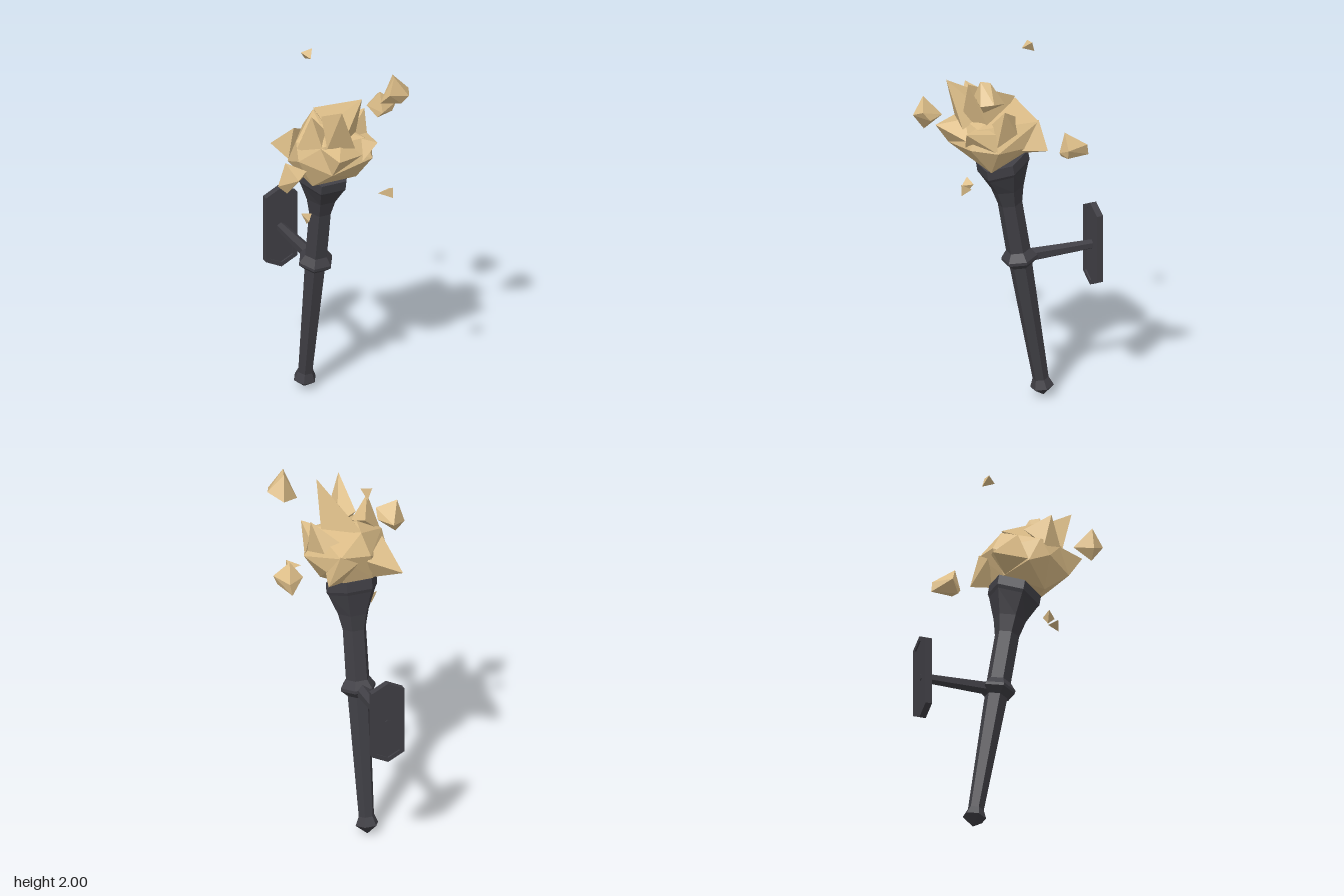
import * as THREE from 'three';
import { ConvexGeometry } from 'three/addons/geometries/ConvexGeometry.js';

const CX = -0.047; // torch centre line in x

function material(name, color) {
  const m = new THREE.MeshStandardMaterial({ color });
  m.name = name;
  return m;
}

// Faceted mesh: one normal per face
function facet(name, geometry, mat) {
  const g = geometry.index ? geometry.toNonIndexed() : geometry;
  g.computeVertexNormals();
  const mesh = new THREE.Mesh(g, mat);
  mesh.name = name;
  return mesh;
}

// Angular crystal-like solid around a few points
function hull(name, points, mat) {
  return facet(name, new ConvexGeometry(points.map((p) => new THREE.Vector3(...p))), mat);
}

// Pointed hexagonal outline of the wall plate
function plateOutline(Type, s) {
  const w = 0.09 * s, h = 0.23 - 0.09 * (1 - s), c = h - 0.045 * s;
  return new Type([[0, h], [-w, c], [-w, -c], [0, -h], [w, -c], [w, c]]
    .map(([x, y]) => new THREE.Vector2(x, y)));
}

function plateLayer(name, s, hole, depth, z, mat) {
  const shape = plateOutline(THREE.Shape, s);
  if (hole) shape.holes.push(plateOutline(THREE.Path, hole));
  const mesh = facet(name, new THREE.ExtrudeGeometry(shape, { depth, bevelEnabled: false }), mat);
  mesh.position.set(CX, 0.807, z);
  return mesh;
}

export function createModel() {
  const torch = new THREE.Group();
  torch.name = 'wallTorch';
  const iron = material('dark iron', 0x403f45);
  const flame = material('pale flame', 0xdcbd88);

  // Six-sided handle, collar and cup, leaning forward
  const profile = [
    [0, 0.005], [0.062, 0.057], [0.042, 0.105], [0.06, 0.77], [0.095, 0.802], [0.095, 0.818],
    [0.064, 0.86], [0.064, 1.135], [0.085, 1.225], [0.13, 1.335], [0.14, 1.352], [0.14, 1.405],
    [0.11, 1.405], [0.09, 1.36], [0, 1.36],
  ].map(([r, y]) => new THREE.Vector2(r, y));
  const shaft = new THREE.LatheGeometry(profile, 6, Math.PI / 2);
  const pos = shaft.attributes.position;
  for (let i = 0; i < pos.count; i++) {
    // tilt the rim further forward
    if (pos.getY(i) > 1.3) pos.setY(i, pos.getY(i) - 0.18 * pos.getZ(i));
  }
  const handle = facet('handle', shaft, iron);
  handle.rotation.x = 0.168;
  handle.position.set(CX, 0, -0.15);
  torch.add(handle);

  // Arm to the wall
  const arm = facet('bracketArm', new THREE.CylinderGeometry(0.038, 0.026, 0.39, 6), iron);
  arm.rotation.x = Math.PI / 2;
  arm.position.set(CX, 0.804, -0.225);
  torch.add(arm);

  // Wall plate with a sunken back and a small bolt
  torch.add(plateLayer('plateRim', 1, 0.72, 0.035, -0.445, iron));
  torch.add(plateLayer('platePanel', 0.72, 0, 0.019, -0.437, iron));
  const bolt = facet('plateBolt', new THREE.CylinderGeometry(0.018, 0.018, 0.006, 6), iron);
  bolt.rotation.x = Math.PI / 2;
  bolt.position.set(CX, 0.804, -0.439);
  torch.add(bolt);

  // Main fire: a faceted core with overlapping tongues
  const fire = new THREE.Group();
  fire.name = 'fire';
  const tongues = {
    core: [
      [-0.17, 1.36, 0.2], [0.08, 1.36, 0.2], [-0.13, 1.42, -0.01], [0.03, 1.42, -0.01],
      [-0.255, 1.47, 0.08], [-0.25, 1.52, 0.2], [0.17, 1.5, 0.2], [0.11, 1.48, 0.03],
      [0.11, 1.52, 0.33], [-0.13, 1.48, 0.35], [-0.1, 1.58, -0.06], [0.07, 1.6, -0.07],
      [-0.24, 1.61, 0.15], [-0.15, 1.63, 0.3], [0.09, 1.62, 0.28], [-0.07, 1.69, 0],
      [-0.1, 1.68, 0.14],
    ],
    rightBackTongue: [
      [-0.255, 1.48, -0.12], [-0.25, 1.48, 0.08], [-0.13, 1.42, 0], [-0.08, 1.55, -0.06],
      [-0.2, 1.63, 0.04],
    ],
    leftBackTongue: [
      [0.145, 1.46, -0.09], [0.03, 1.42, 0], [0.11, 1.47, 0.04], [0.07, 1.61, -0.07],
      [-0.03, 1.55, -0.06],
    ],
    frontTongue: [
      [-0.125, 1.59, 0.425], [-0.13, 1.48, 0.35], [-0.17, 1.62, 0.27], [0.05, 1.55, 0.33],
      [-0.03, 1.64, 0.25],
    ],
    leftFrontTongue: [
      [0.125, 1.62, 0.36], [0.165, 1.5, 0.2], [0.04, 1.5, 0.33], [0.04, 1.62, 0.24],
      [0.14, 1.6, 0.2],
    ],
    tallTongue: [
      [0.055, 1.87, 0.32], [-0.07, 1.7, 0], [0.07, 1.58, 0.2], [-0.06, 1.6, 0.31],
      [-0.08, 1.68, 0.17],
    ],
    middleTongue: [
      [-0.09, 1.85, 0.38], [-0.14, 1.62, 0.31], [0.01, 1.6, 0.33], [-0.1, 1.73, 0.16],
      [-0.01, 1.66, 0.19],
    ],
    rightTongue: [
      [-0.19, 1.78, 0.23], [-0.245, 1.58, 0.17], [-0.15, 1.57, 0.31], [-0.09, 1.66, 0.2],
      [-0.13, 1.7, 0.1],
    ],
    leftTongue: [
      [0.15, 1.72, 0.155], [0.15, 1.52, 0.2], [0.04, 1.6, 0.2], [0.03, 1.63, 0.04],
      [0.1, 1.54, 0.05],
    ],
  };
  for (const [name, points] of Object.entries(tongues)) fire.add(hull(name, points, flame));
  torch.add(fire);

  // Loose embers around the fire
  const embers = new THREE.Group();
  embers.name = 'embers';
  [
    [[0.235, 1.96, 0.33], [0.335, 1.86, 0.295], [0.275, 1.83, 0.21], [0.175, 1.8, 0.285],
      [0.275, 1.8, 0.33], [0.305, 1.85, 0.36], [0.2, 1.87, 0.35], [0.25, 1.95, 0.28]],
    [[0.36, 1.65, -0.09], [0.445, 1.58, -0.075], [0.4, 1.58, -0.2], [0.39, 1.52, -0.21],
      [0.3, 1.57, -0.125], [0.34, 1.51, -0.08], [0.36, 1.54, -0.06], [0.425, 1.53, -0.08]],
    [[-0.41, 1.63, 0.37], [-0.31, 1.58, 0.415], [-0.305, 1.53, 0.375], [-0.4, 1.45, 0.37],
      [-0.45, 1.5, 0.365], [-0.36, 1.53, 0.285], [-0.37, 1.55, 0.445]],
    [[-0.1, 1.99, -0.08], [-0.035, 2, -0.08], [-0.065, 1.965, -0.035], [-0.065, 1.937, -0.105]],
    [[0.115, 1.34, 0.385], [0.185, 1.37, 0.415], [0.185, 1.31, 0.415], [0.19, 1.34, 0.358]],
    [[-0.235, 1.215, 0.2], [-0.17, 1.195, 0.19], [-0.205, 1.15, 0.205], [-0.21, 1.18, 0.24]],
  ].forEach((points, i) => embers.add(hull('ember' + (i + 1), points, flame)));
  torch.add(embers);

  return torch;
}
